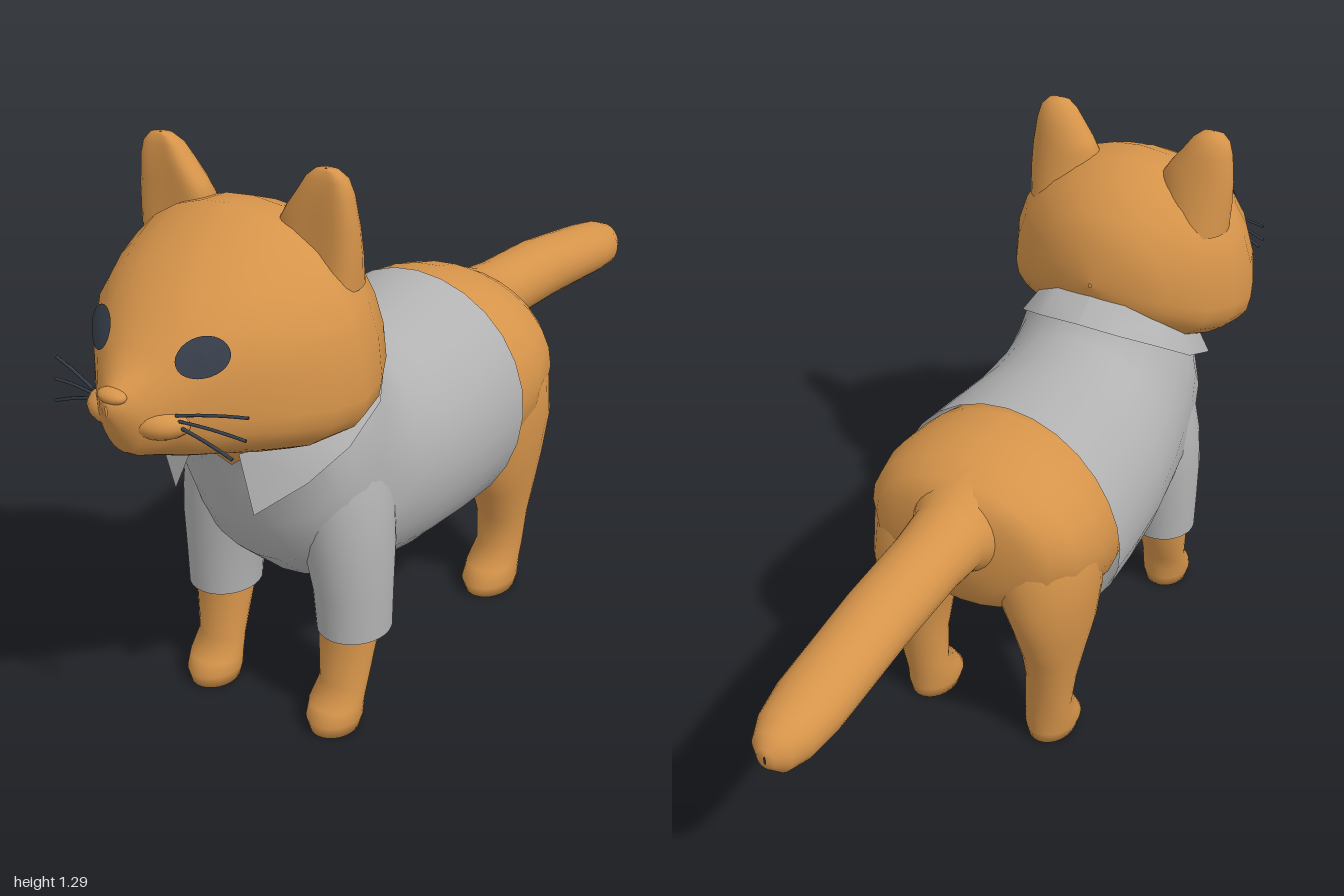
import * as THREE from 'three';

const N = 28;
const mat = (name, color, side = THREE.FrontSide) => {
  const m = new THREE.MeshStandardMaterial({ color, side });
  m.name = name;
  return m;
};

// Smooth skin over a list of closed rings of points, always facing outwards.
function skin(rings) {
  const n = rings[0].length, pos = rings.flat(2), idx = [];
  for (let r = 0; r < rings.length - 1; r++)
    for (let i = 0; i < n; i++) {
      const j = (i + 1) % n, a = r * n + i, b = r * n + j;
      idx.push(a, b, a + n, b, b + n, a + n);
    }
  const p = k => new THREE.Vector3(pos[3 * k], pos[3 * k + 1], pos[3 * k + 2]);
  const mid = p(0).lerp(p(pos.length / 3 - n / 2), 0.5);
  let volume = 0;
  for (let k = 0; k < idx.length; k += 3) {
    const [a, b, c] = [0, 1, 2].map(o => p(idx[k + o]).sub(mid));
    volume += a.dot(b.cross(c));
  }
  if (volume < 0) idx.reverse();
  const g = new THREE.BufferGeometry();
  g.setAttribute('position', new THREE.Float32BufferAttribute(pos, 3));
  g.setIndex(idx);
  g.computeVertexNormals();
  return g;
}

// Ring spanning a top point and a bottom point, w = half width, f = height of the widest line;
// up and down make the upper and lower half squarer when below 1.
function bodyRing([zt, yt, zb, yb, w, f = 0.5], up = 1, down = 1) {
  return Array.from({ length: N }, (_, i) => {
    const a = i / N * Math.PI * 2, s = Math.sin(a);
    const t = s > 0 ? f + (1 - f) * s ** up : f - f * (-s) ** down;
    return [w * Math.cos(a), yb + (yt - yb) * t, zb + (zt - zb) * t];
  });
}

// Level ring for limbs and ears; dent hollows the front side.
function levelRing([y, zc, rz, xc, rx], side, dent = 0) {
  return Array.from({ length: N }, (_, i) => {
    const a = i / N * Math.PI * 2, s = Math.sin(a);
    const d = s > 0 ? s - dent * s ** 3 : s;
    return [side * (xc + rx * Math.cos(a)), y, zc + rz * d];
  });
}

// Head profile: z, half width, top, bottom, height of the widest line, upper squareness
const HEAD = [
  [0.365, 0.004, 0.94, 0.93, 0.935, 1], [0.375, 0.10, 1.03, 0.865, 0.93, 1],
  [0.41, 0.18, 1.10, 0.815, 0.91, 0.95], [0.48, 0.26, 1.155, 0.76, 0.88, 0.9],
  [0.55, 0.297, 1.184, 0.73, 0.87, 0.86], [0.62, 0.309, 1.19, 0.72, 0.86, 0.86],
  [0.69, 0.286, 1.162, 0.72, 0.86, 0.85], [0.76, 0.247, 1.125, 0.74, 0.865, 0.78],
  [0.82, 0.195, 1.085, 0.757, 0.87, 0.72], [0.87, 0.147, 1.04, 0.77, 0.875, 0.72],
  [0.91, 0.108, 1.0, 0.785, 0.875, 0.8], [0.94, 0.08, 0.975, 0.795, 0.875, 0.9],
  [0.962, 0.055, 0.96, 0.81, 0.885, 1], [0.983, 0.03, 0.943, 0.86, 0.905, 1],
  [0.995, 0.014, 0.93, 0.89, 0.912, 1], [0.998, 0.002, 0.92, 0.90, 0.91, 1],
];

// Depth of the face surface at a point above the cheek line
function faceZ(x, y) {
  for (let z = 0.997; z > 0.62; z -= 0.001) {
    const k = HEAD.findIndex(h => h[0] > z), a = HEAD[k - 1], b = HEAD[k];
    const t = (z - a[0]) / (b[0] - a[0]);
    const [, w, top, , yw, up] = a.map((v, i) => v + (b[i] - v) * t);
    if (y < top && (x / w) ** 2 + ((y - yw) / (top - yw)) ** (2 / up) < 1) return z;
  }
  return 0.62;
}

export function createModel() {
  const root = new THREE.Group();
  const fur = mat('orange fur', 0xd6944a);
  const cloth = mat('grey cloth', 0xb2b2b2, THREE.DoubleSide);
  const dark = mat('dark slate', 0x38404c, THREE.DoubleSide);
  const add = (name, geo, m) => {
    const mesh = new THREE.Mesh(geo, m);
    mesh.name = name;
    root.add(mesh);
    return mesh;
  };
  const ball = (name, p, r) => {
    const mesh = add(name, new THREE.SphereGeometry(1, 20, 14), fur);
    mesh.position.set(...p);
    mesh.scale.set(...r);
  };

  // Head with a chin that narrows under the muzzle
  add('head', skin(HEAD.map(([z, w, t, b, yw, up]) =>
    bodyRing([z, t, z, b, w, (yw - b) / (t - b)], up, z > 0.88 ? 1.15 : 0.85))), fur);
  ball('nose', [0, 0.934, 0.98], [0.032, 0.015, 0.02]);

  // Neck, rump and tail
  add('neck', skin([
    [0.40, 0.74, 0.60, 0.56, 0.15], [0.39, 0.84, 0.645, 0.64, 0.175],
    [0.42, 0.95, 0.69, 0.74, 0.19],
  ].map(r => bodyRing(r))), fur);
  add('rump', skin([
    [0.10, 0.60, 0.10, 0.45, 0.01], [0.06, 0.79, 0.09, 0.27, 0.255],
    [-0.035, 0.806, 0.0, 0.29, 0.278], [-0.13, 0.80, -0.10, 0.34, 0.284],
    [-0.20, 0.78, -0.20, 0.39, 0.264], [-0.245, 0.757, -0.255, 0.43, 0.222],
    [-0.275, 0.735, -0.28, 0.48, 0.16], [-0.292, 0.68, -0.292, 0.56, 0.01],
  ].map(r => bodyRing(r))), fur);
  add('tail', skin([
    [-0.21, 0.775, -0.21, 0.50, 0.15], [-0.26, 0.75, -0.26, 0.525, 0.115],
    [-0.31, 0.73, -0.31, 0.555, 0.09],
    [-0.40, 0.717, -0.40, 0.562, 0.083], [-0.60, 0.706, -0.60, 0.552, 0.081],
    [-0.85, 0.665, -0.85, 0.532, 0.08], [-0.93, 0.65, -0.93, 0.525, 0.068],
    [-0.975, 0.632, -0.975, 0.53, 0.048], [-0.997, 0.605, -0.997, 0.555, 0.022],
    [-1.0, 0.59, -1.0, 0.57, 0.002],
  ].map(r => bodyRing(r))), fur);

  // Shirt, open at the hem and the neck, with a flat chest
  const shirt = [
    [-0.035, 0.822, 0.03, 0.235, 0.287], [0.10, 0.81, 0.12, 0.235, 0.28],
    [0.22, 0.80, 0.25, 0.243, 0.27], [0.30, 0.82, 0.39, 0.26, 0.255],
    [0.33, 0.845, 0.50, 0.31, 0.245], [0.35, 0.865, 0.585, 0.39, 0.238],
    [0.36, 0.88, 0.632, 0.50, 0.23], [0.365, 0.885, 0.65, 0.60, 0.213],
    [0.37, 0.888, 0.655, 0.64, 0.19],
  ].map((r, i) => bodyRing(r, 1, i > 3 && i < 7 ? 0.8 : 1));
  // The hem bows backwards along the sides
  shirt[0] = shirt[0].map(([x, y, z]) => [x, y, z - 0.03 * (x / 0.287) ** 2]);
  // A small V at the front of the neckline
  shirt[8] = shirt[8].map(([x, y, z]) => {
    const rise = z > 0.58 ? Math.min(Math.abs(x), 0.075) : 0;
    return [x, y + 0.75 * rise, z + 0.55 * rise];
  });
  add('shirt', skin(shirt), cloth);

  // Folded collar: an upper and a lower edge, from the back to the front tip
  const upper = [[0, 0.905, 0.37], [0.09, 0.9, 0.375], [0.155, 0.865, 0.42],
    [0.19, 0.82, 0.48], [0.195, 0.775, 0.57], [0.14, 0.735, 0.65], [0.055, 0.70, 0.698]];
  const lower = [[0, 0.86, 0.305], [0.10, 0.855, 0.31], [0.18, 0.82, 0.365],
    [0.228, 0.76, 0.455], [0.232, 0.71, 0.57], [0.19, 0.655, 0.655], [0.10, 0.583, 0.715]];

  for (const s of [1, -1]) {
    const side = s > 0 ? 'left' : 'right';
    const limb = (name, rows, m, dent) =>
      add(side + name, skin(rows.map(r => levelRing(r, s, dent))), m);

    limb('FrontLeg', [
      [0, 0.55, 0.002, 0.165, 0.002], [0, 0.548, 0.06, 0.165, 0.052],
      [0.03, 0.548, 0.067, 0.165, 0.06], [0.06, 0.54, 0.058, 0.165, 0.061],
      [0.10, 0.515, 0.042, 0.167, 0.057], [0.22, 0.492, 0.064, 0.168, 0.066],
      [0.34, 0.485, 0.07, 0.17, 0.066],
    ], fur);
    limb('Sleeve', [
      [0.225, 0.482, 0.085, 0.175, 0.08], [0.32, 0.48, 0.09, 0.172, 0.085],
      [0.42, 0.477, 0.103, 0.162, 0.096], [0.52, 0.472, 0.112, 0.145, 0.106],
      [0.61, 0.468, 0.117, 0.125, 0.108], [0.68, 0.47, 0.105, 0.11, 0.10],
      [0.73, 0.47, 0.08, 0.10, 0.085], [0.76, 0.46, 0.004, 0.10, 0.004],
    ], cloth);
    limb('HindLeg', [
      [0, -0.11, 0.002, 0.165, 0.002], [0, -0.113, 0.073, 0.165, 0.055],
      [0.03, -0.11, 0.081, 0.165, 0.063], [0.065, -0.122, 0.068, 0.166, 0.062],
      [0.11, -0.147, 0.05, 0.169, 0.057], [0.20, -0.145, 0.062, 0.175, 0.061],
      [0.28, -0.14, 0.09, 0.178, 0.072], [0.36, -0.132, 0.126, 0.176, 0.088],
      [0.46, -0.135, 0.146, 0.165, 0.112], [0.56, -0.13, 0.142, 0.145, 0.133],
      [0.65, -0.122, 0.125, 0.12, 0.133], [0.72, -0.12, 0.09, 0.10, 0.11],
      [0.76, -0.12, 0.004, 0.09, 0.004],
    ], fur);
    limb('Ear', [
      [1.05, 0.565, 0.08, 0.17, 0.085], [1.11, 0.567, 0.066, 0.173, 0.086],
      [1.17, 0.57, 0.056, 0.172, 0.086], [1.20, 0.572, 0.051, 0.179, 0.075],
      [1.235, 0.574, 0.044, 0.19, 0.06], [1.265, 0.576, 0.034, 0.196, 0.045],
      [1.282, 0.579, 0.02, 0.198, 0.026], [1.286, 0.582, 0.002, 0.198, 0.002],
    ], fur, 0.42);

    ball(side + 'MuzzlePad', [s * 0.042, 0.873, 0.908], [0.074, 0.038, 0.06]);

    // Eye: thin patch following the face, turned slightly to the front
    const middle = faceZ(0.121, 0.995);
    const eye = [1, 0.66, 0.33, 0.01].map(k => Array.from({ length: N }, (_, i) => {
      const a = i / N * Math.PI * 2;
      const x = 0.121 + 0.043 * k * Math.cos(a), y = 0.995 + 0.036 * k * Math.sin(a);
      return [s * (x + 0.002), y + 0.002, faceZ(x, y) * 0.8 + middle * 0.2 + 0.008];
    }));
    add(side + 'Eye', skin(eye), dark);

    // Whiskers
    [[0.232, 0.91, 0.88], [0.232, 0.868, 0.89], [0.215, 0.834, 0.91]].forEach(([x, y, z], i) => {
      const from = new THREE.Vector3(s * 0.1, 0.897 - i * 0.01, 0.925);
      const to = new THREE.Vector3(s * x, y, z);
      const bend = from.clone().lerp(to, 0.5).add(new THREE.Vector3(0, 0.006, 0));
      const curve = new THREE.QuadraticBezierCurve3(from, bend, to);
      add(side + 'Whisker', new THREE.TubeGeometry(curve, 6, 0.0035, 6), dark);
    });

    // Collar half
    const g = new THREE.BufferGeometry(), idx = [], n = upper.length;
    const pts = [...upper, ...lower].flatMap(([x, y, z]) => [s * x, y, z]);
    for (let i = 0; i < n - 1; i++) {
      const quad = [i, i + n, i + 1, i + 1, i + n, i + n + 1];
      idx.push(...(s > 0 ? quad : quad.reverse()));
    }
    g.setAttribute('position', new THREE.Float32BufferAttribute(pts, 3));
    g.setIndex(idx);
    g.computeVertexNormals();
    add(side + 'Collar', g, cloth);
  }
  return root;
}
